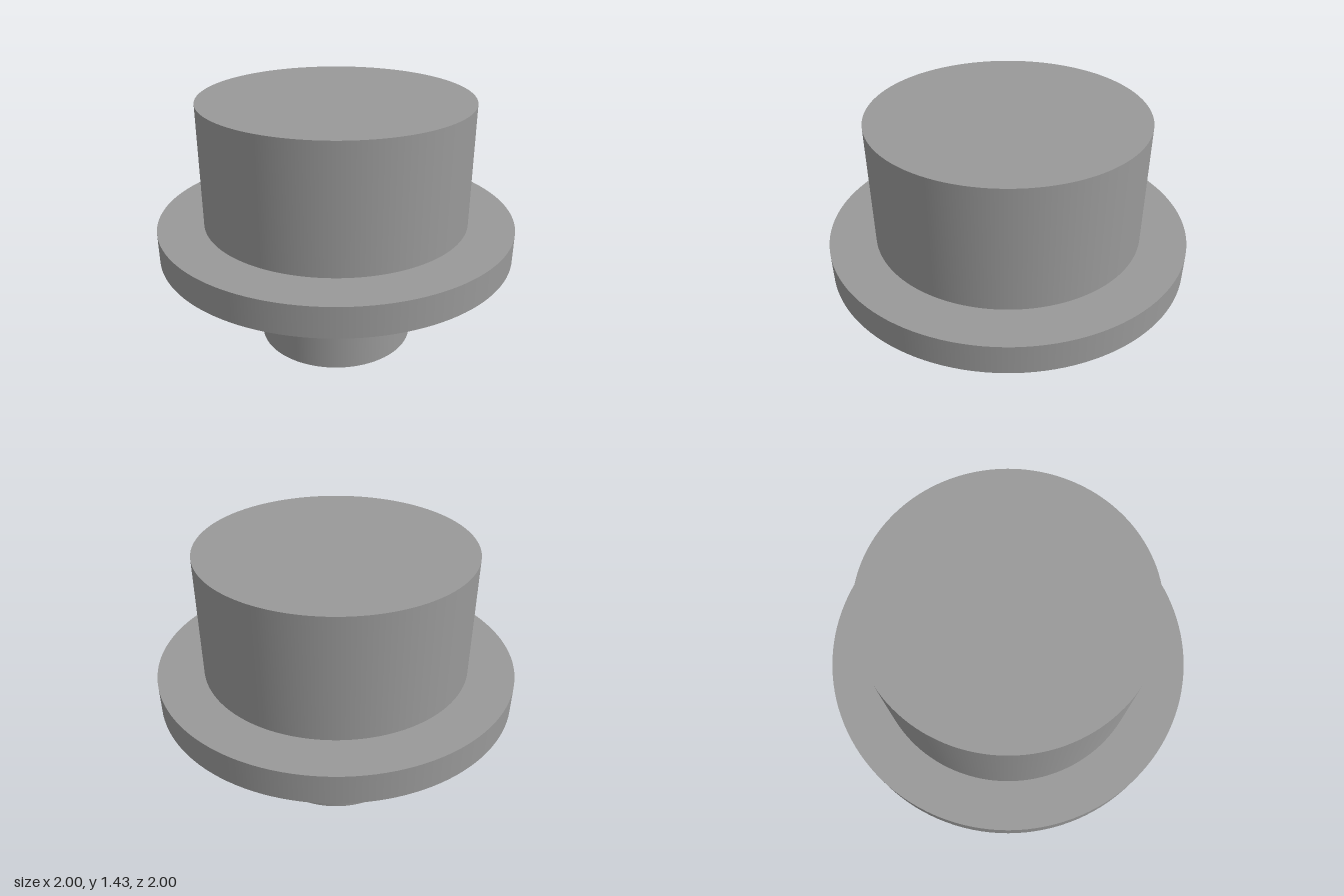
import * as THREE from 'three';

export function createModel() {
  const group = new THREE.Group();
  const grey = new THREE.MeshStandardMaterial({ color: 0x999999 });
  grey.name = 'grey';

  // Solid disc between two heights
  const addDisc = (name, radius, bottom, top) => {
    const height = top - bottom;
    const mesh = new THREE.Mesh(new THREE.CylinderGeometry(radius, radius, height, 128), grey);
    mesh.name = name;
    mesh.position.y = bottom + height / 2;
    group.add(mesh);
  };

  addDisc('stem', 0.446, 0, 0.578);
  addDisc('flange', 1, 0.578, 0.745);
  addDisc('head', 0.745, 0.745, 1.428);

  return group;
}
